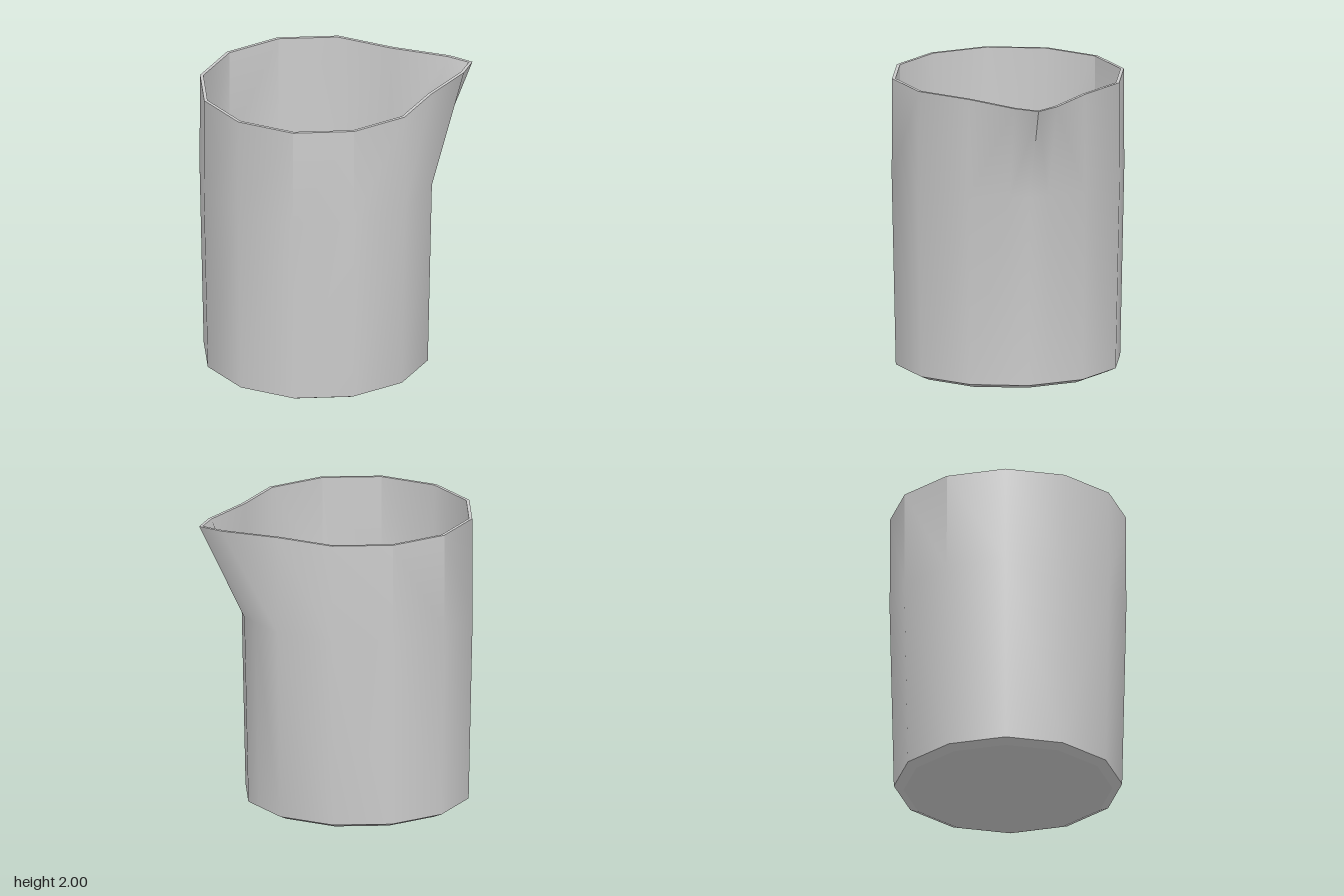
import * as THREE from 'three';

const AXIS = -0.16;   // x of the cup's axis; the spout takes up the rest of the width
const SIDES = 12;

// Columns round the cup: twelve corners plus one extra beside each side of the spout tip
const columns = [];
for (let i = 0; i < SIDES; i++) {
  columns.push({ corner: i, spout: 0, split: [0, 3, 4, 8, 9].includes(i) });
  if (i === 0) columns.push({ corner: 0, spout: 1 });
  if (i === SIDES - 1) columns.push({ corner: 0, spout: -1 });
}

// Plain twelve-sided ring; the extra columns lie on its edges next to the spout
function ring(r, y) {
  const at = (i) => {
    const a = (i / SIDES) * Math.PI * 2;
    return new THREE.Vector3(AXIS + r * Math.cos(a), y, r * Math.sin(a));
  };
  return columns.map((c) => c.spout ? at(0).lerp(at(c.spout), 0.33) : at(c.corner));
}

// Top ring, with the spout drawn out to a point
function rimRing(r, tipX, sideX, sideZ) {
  const pts = ring(r, 2);
  columns.forEach((c, i) => {
    if (c.spout) pts[i].set(sideX, 2, c.spout * sideZ);
    else if (c.corner === 0) pts[i].set(tipX, 2, 0);
  });
  return pts;
}

// Skin between rings; smooth, but creased along the split columns at the top
function skin(rows, creased = false) {
  const pos = [], index = [], n = columns.length;
  const ids = rows.map((row) => row.map((p, i) => {
    const id = pos.length / 3;
    pos.push(p.x, p.y, p.z);
    if (!(creased && p.y === 2 && columns[i].split)) return [id, id];
    pos.push(p.x, p.y, p.z);
    return [id, id + 1];
  }));
  for (let r = 0; r < rows.length - 1; r++) {
    const down = rows[r][0].y > rows[r + 1][0].y;
    for (let i = 0; i < n; i++) {
      const j = (i + 1) % n;
      const a = ids[r][i][1], b = ids[r][j][0];
      const c = ids[r + 1][i][1], d = ids[r + 1][j][0];
      // diagonals mirror across the spout
      if ((i < n / 2) !== down) index.push(a, c, b, b, c, d);
      else index.push(a, c, d, a, d, b);
    }
  }
  const g = new THREE.BufferGeometry();
  g.setAttribute('position', new THREE.Float32BufferAttribute(pos, 3));
  g.setIndex(index);
  g.computeVertexNormals();
  return g;
}

function disc(r, y, up) {
  return new THREE.CircleGeometry(r, SIDES)
    .rotateX(up ? -Math.PI / 2 : Math.PI / 2)
    .translate(AXIS, y, 0);
}

export function createModel() {
  const group = new THREE.Group();
  group.name = 'spoutedCup';
  const grey = new THREE.MeshStandardMaterial({ color: 0xcccccc });
  const blue = new THREE.MeshStandardMaterial({ color: 0x4a9ad8 });
  const add = (name, geometry, material = grey) => {
    const mesh = new THREE.Mesh(geometry, material);
    mesh.name = name;
    group.add(mesh);
  };

  const outerTop = rimRing(0.79, 0.95, 0.84, 0.145);
  const innerTop = rimRing(0.767, 0.925, 0.822, 0.13);

  // Outside
  add('base', disc(0.7, 0, false));
  add('baseBevel', skin([ring(0.7, 0), ring(0.765, 0.03)]));
  add('outerWall', skin([ring(0.765, 0.03), ring(0.793, 1.33), outerTop], true));
  add('rim', skin([outerTop, innerTop]));

  // Inside
  add('innerWall', skin([innerTop, ring(0.767, 1.33), ring(0.74, 0.06)], true));
  add('innerBevel', skin([ring(0.74, 0.06), ring(0.71, 0.045)]));
  add('floor', disc(0.71, 0.045, true), blue);

  return group;
}
